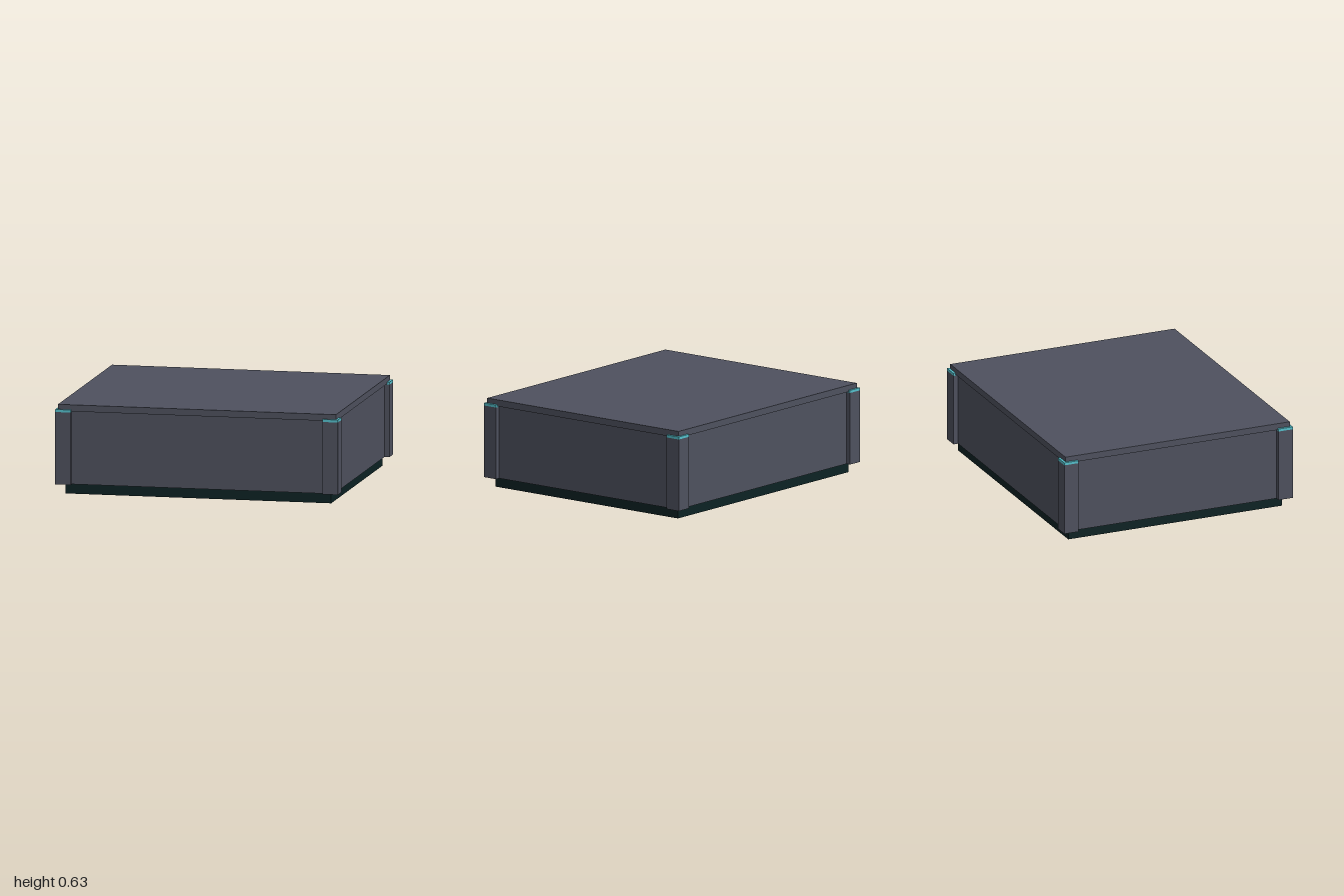
import * as THREE from 'three';

export function createModel() {
  const model = new THREE.Group();
  model.name = 'lowCrate';

  const material = (name, color) => {
    const m = new THREE.MeshStandardMaterial({ color });
    m.name = name;
    return m;
  };
  const slate = material('slate grey', 0x4e515e);
  const dark = material('dark green black', 0x0c2223);
  const cyan = material('cyan', 0x55c0cc);

  // Box from half width, half depth and its bottom and top heights
  const block = (name, hx, hz, y0, y1, mat) => {
    const mesh = new THREE.Mesh(new THREE.BoxGeometry(hx * 2, y1 - y0, hz * 2), mat);
    mesh.position.y = (y0 + y1) / 2;
    mesh.name = name;
    model.add(mesh);
  };
  block('plinth', 0.94, 0.806, 0, 0.07, dark);
  block('body', 0.965, 0.828, 0.07, 0.582, slate);
  block('lid', 0.983, 0.846, 0.582, 0.628, slate);

  // Corner guards with a bright cap, one at each corner
  const W = 0.11, D = 0.108;
  for (const sx of [-1, 1]) {
    for (const sz of [-1, 1]) {
      const corner = new THREE.Group();
      corner.name = (sz > 0 ? 'front' : 'back') + (sx > 0 ? 'Left' : 'Right') + 'Corner';
      corner.position.set(sx * (1 - W / 2), 0, sz * (0.862 - D / 2));
      const post = new THREE.Mesh(new THREE.BoxGeometry(W, 0.506, D), slate);
      post.name = 'cornerPost';
      post.position.y = 0.323;
      const cap = new THREE.Mesh(new THREE.BoxGeometry(W, 0.018, D), cyan);
      cap.name = 'cornerCap';
      cap.position.y = 0.585;
      corner.add(post, cap);
      model.add(corner);
    }
  }
  return model;
}
